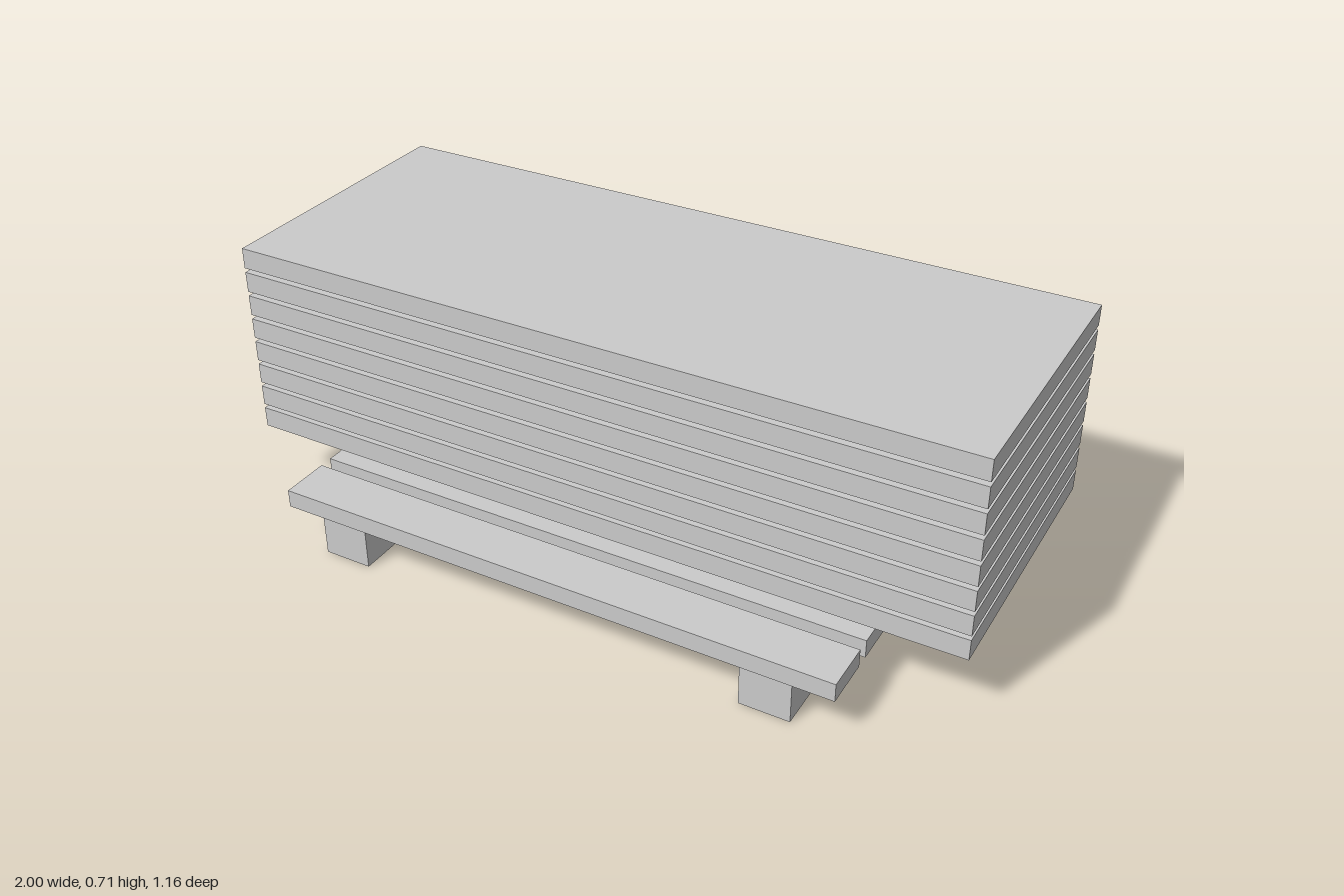
import * as THREE from 'three';

export function createModel() {
  const model = new THREE.Group();
  const material = new THREE.MeshStandardMaterial({ color: 0xcccccc, flatShading: true });

  const addBox = (parent, name, [w, h, d], [x, y, z]) => {
    const mesh = new THREE.Mesh(new THREE.BoxGeometry(w, h, d), material);
    mesh.name = name;
    mesh.position.set(x, y, z);
    parent.add(mesh);
  };

  // Pallet: two bearers carrying seven slats
  const pallet = new THREE.Group();
  pallet.name = 'pallet';
  for (const side of [-1, 1]) {
    addBox(pallet, side > 0 ? 'leftBearer' : 'rightBearer', [0.132, 0.11, 1.15], [side * 0.596, 0.055, 0]);
  }
  for (let i = 0; i < 7; i++) {
    addBox(pallet, `slat${i + 1}`, [1.536, 0.049, 0.135], [0, 0.1345, (i - 3) * 0.1705]);
  }

  // Stack of eight sheets, separated by narrow gaps
  const stack = new THREE.Group();
  stack.name = 'sheetStack';
  for (let i = 0; i < 8; i++) {
    addBox(stack, `sheet${i + 1}`, [2, 0.056, 0.767], [0, 0.207 + i * 0.068, 0]);
  }

  model.add(pallet, stack);
  return model;
}
